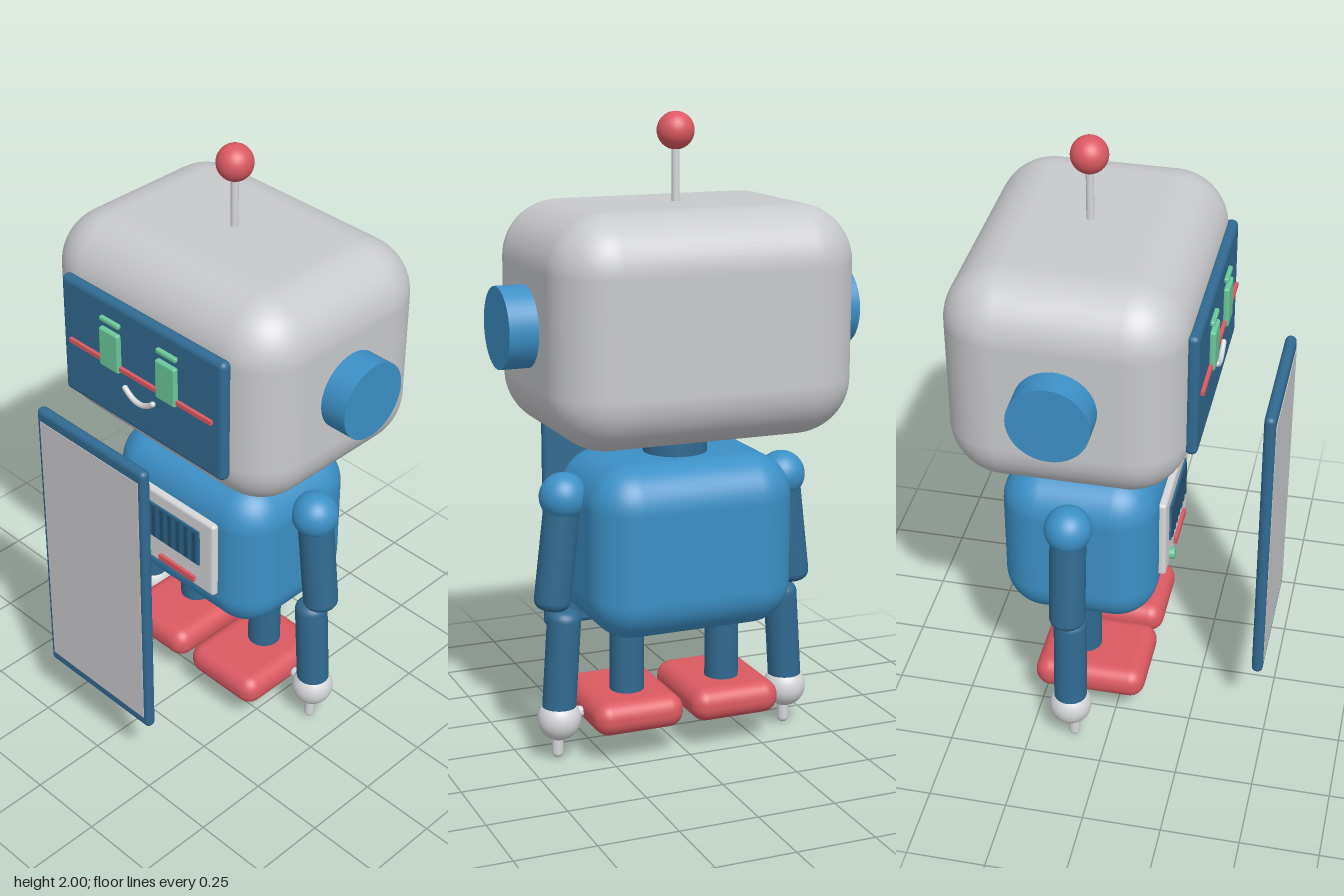
import * as THREE from 'three';
import { RoundedBoxGeometry } from 'three/addons/geometries/RoundedBoxGeometry.js';

const paint = (name, color) => {
  const m = new THREE.MeshStandardMaterial({ color });
  m.name = name;
  return m;
};

export function createModel() {
  const grey = paint('shell grey', 0xc8c9cc);
  const blue = paint('bright blue', 0x3c90c6);
  const navy = paint('dark blue', 0x316a91);
  const red = paint('coral red', 0xdb5962);
  const green = paint('mint green', 0x6cc89b);
  const pale = paint('pale grey', 0xd6d7d9);
  const ink = paint('slot dark', 0x24506e);

  const robot = new THREE.Group();
  robot.name = 'robot';
  const Z = -0.12; // depth of the body's central plane

  const add = (name, geo, mat, x, y, z, parent = robot) => {
    const mesh = new THREE.Mesh(geo, mat);
    mesh.name = name;
    mesh.position.set(x, y, z);
    parent.add(mesh);
    return mesh;
  };
  const rbox = (w, h, d, r, seg = 4) => new RoundedBoxGeometry(w, h, d, seg, r);
  const ball = (r) => new THREE.SphereGeometry(r, 32, 20);
  const rod = (r, h) => new THREE.CylinderGeometry(r, r, h, 40);

  // Upright cylinder with softened rims
  const softRod = (r, h, e) => {
    const pts = [new THREE.Vector2(0, -h / 2)];
    for (const side of [-1, 1]) {
      for (let i = 0; i <= 6; i++) {
        const a = (side < 0 ? i - 6 : i) / 6 * Math.PI / 2;
        pts.push(new THREE.Vector2(r - e + e * Math.cos(a), side * (h / 2 - e) + e * Math.sin(a)));
      }
    }
    pts.push(new THREE.Vector2(0, h / 2));
    return new THREE.LatheGeometry(pts, 32);
  };

  // Limb segment from (x0, y0) to (x1, y1)
  const limb = (name, geoR, x0, y0, x1, y1) => {
    const len = Math.hypot(x1 - x0, y1 - y0);
    const m = add(name, softRod(geoR, len, 0.03), navy, (x0 + x1) / 2, (y0 + y1) / 2, Z);
    m.rotation.z = Math.atan2(x1 - x0, y0 - y1);
    return m;
  };

  // Head, neck, body
  add('head', rbox(0.96, 0.7, 0.725, 0.175, 8), grey, 0, 1.385, -0.122);
  add('neck', rod(0.1, 0.2), navy, 0, 1.0, Z);
  add('body', rbox(0.66, 0.545, 0.495, 0.135, 8), blue, 0, 0.692, -0.118);

  // Antenna
  add('antennaRod', rod(0.012, 0.2), pale, 0, 1.82, -0.122);
  add('antennaBall', ball(0.057), red, 0, 1.945, -0.122);

  // Face screen with its features
  const face = new THREE.Group();
  face.name = 'face';
  robot.add(face);
  add('faceScreen', rbox(0.69, 0.415, 0.04, 0.018), navy, 0, 1.378, 0.249, face);
  add('faceLine', new THREE.BoxGeometry(0.61, 0.014, 0.012), red, 0, 1.372, 0.274, face);
  for (const s of [-1, 1]) {
    add('eye', rbox(0.083, 0.135, 0.02, 0.007), green, s * 0.121, 1.422, 0.276, face);
    add('eyebrow', rbox(0.083, 0.016, 0.016, 0.005), green, s * 0.121, 1.518, 0.274, face);
  }
  const smile = new THREE.QuadraticBezierCurve3(
    new THREE.Vector3(-0.06, 1.314, 0.276),
    new THREE.Vector3(0, 1.256, 0.276),
    new THREE.Vector3(0.06, 1.314, 0.276));
  add('mouth', new THREE.TubeGeometry(smile, 20, 0.009, 10), pale, 0, 0, 0, face);
  for (const s of [-1, 1]) add('mouthEnd', ball(0.009), pale, s * 0.06, 1.314, 0.276, face);

  // Chest panel with a slotted window, light bar and button
  const chest = new THREE.Group();
  chest.name = 'chestPanel';
  robot.add(chest);
  add('chestPlate', rbox(0.38, 0.285, 0.03, 0.012), pale, 0, 0.702, 0.136, chest);
  add('chestWindow', new THREE.BoxGeometry(0.26, 0.135, 0.008), navy, 0, 0.728, 0.153, chest);
  for (let i = -3; i <= 3; i++) {
    add('chestSlot', new THREE.BoxGeometry(0.015, 0.125, 0.008), ink, i * 0.037, 0.728, 0.157, chest);
  }
  add('chestBar', new THREE.BoxGeometry(0.16, 0.022, 0.012), red, 0.03, 0.592, 0.156, chest);
  const button = add('chestButton', rod(0.019, 0.02), green, -0.11, 0.592, 0.158, chest);
  button.rotation.x = Math.PI / 2;

  // Floating tablet in front
  add('tablet', rbox(0.47, 1.02, 0.036, 0.017), navy, 0, 0.746, 0.465);
  add('tabletScreen', new THREE.BoxGeometry(0.43, 0.94, 0.006), grey, 0, 0.746, 0.482);

  // Paired parts
  for (const s of [-1, 1]) {
    const ear = add('ear', rod(0.124, 0.13), blue, s * 0.505, 1.385, -0.122);
    ear.rotation.z = Math.PI / 2;

    add('shoulder', ball(0.075), blue, s * 0.368, 0.852, Z);
    limb('upperArm', 0.057, s * 0.37, 0.84, s * 0.411, 0.497);
    limb('forearm', 0.053, s * 0.368, 0.49, s * 0.392, 0.14);
    add('hand', ball(0.068), pale, s * 0.39, 0.137, Z);
    add('finger', new THREE.CapsuleGeometry(0.018, 0.08, 6, 16), pale, s * 0.392, 0.062, -0.108);
    const thumb = add('thumb', new THREE.CapsuleGeometry(0.018, 0.05, 6, 16), pale, s * 0.345, 0.147, -0.112);
    thumb.rotation.z = Math.PI / 2;

    add('leg', rod(0.054, 0.32), navy, s * 0.163, 0.32, Z);
    add('foot', rbox(0.296, 0.107, 0.365, 0.05, 6), red, s * 0.163, 0.153, -0.082);
  }
  return robot;
}
